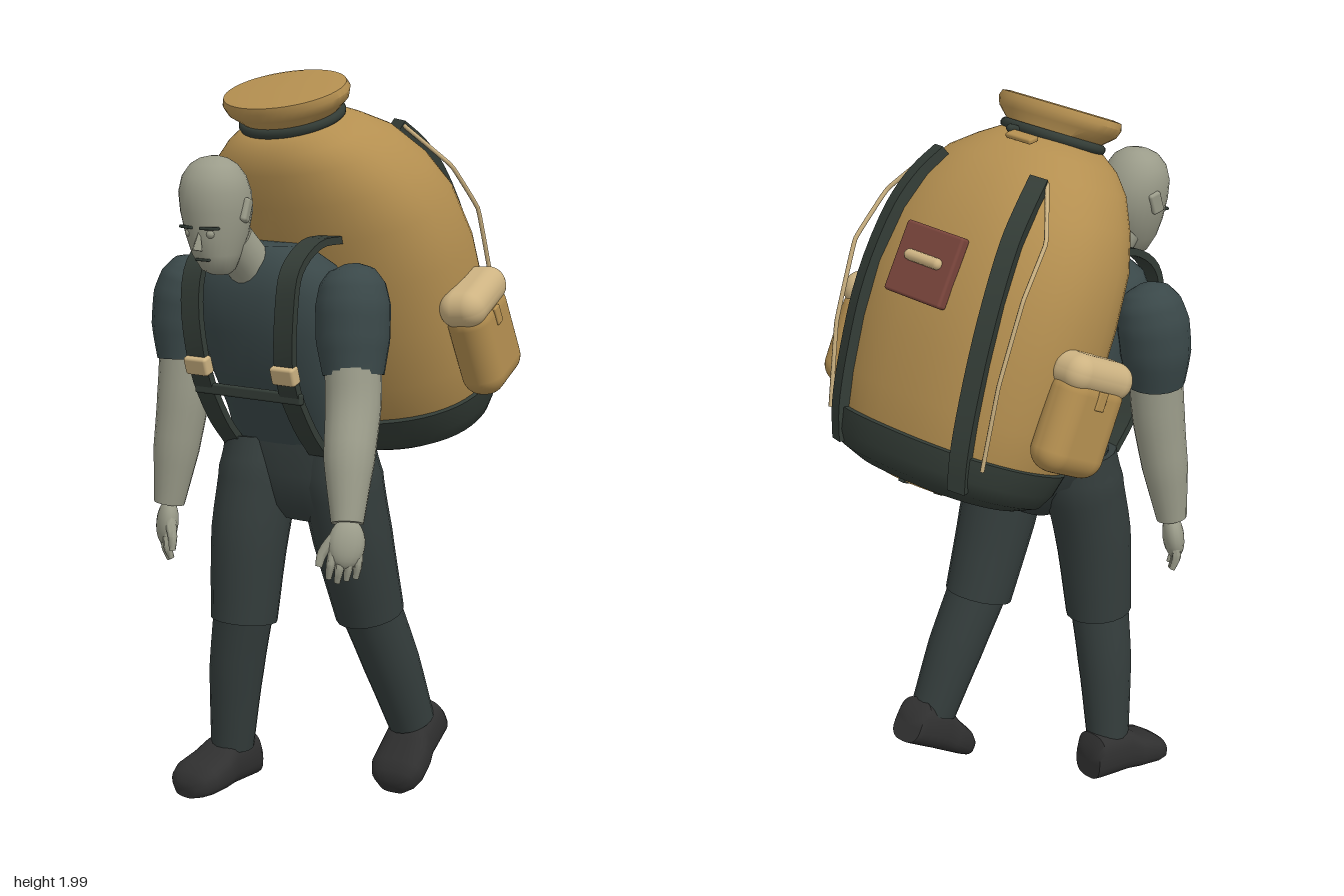
import * as THREE from 'three';
import { toCreasedNormals } from 'three/addons/utils/BufferGeometryUtils.js';
import { RoundedBoxGeometry } from 'three/addons/geometries/RoundedBoxGeometry.js';

const V = (x, y, z) => new THREE.Vector3(x, y, z);
const mat = (color) => new THREE.MeshStandardMaterial({ color });
const tan = mat(0xb48f50), pale = mat(0xcdb382), dark = mat(0x333c36), red = mat(0x7a453c);
const shirt = mat(0x3a4849), trouser = mat(0x343d3c), shoeMat = mat(0x303030), skin = mat(0x9b9c8a);

function add(parent, name, geo, material, x = 0, y = 0, z = 0) {
  const m = new THREE.Mesh(geo, material);
  m.name = name;
  m.position.set(x, y, z);
  parent.add(m);
  return m;
}

// Skin closed rings of points into a capped solid
function loft(rings, crease = 0.8) {
  const n = rings[0].length, pos = [], idx = [];
  const centre = (r) => r.reduce((s, p) => s.add(p), V(0, 0, 0)).divideScalar(n);
  const last = rings.length - 1;
  for (const p of [...rings.flat(), centre(rings[0]), centre(rings[last])]) pos.push(p.x, p.y, p.z);
  const c0 = rings.length * n, c1 = c0 + 1;
  for (let j = 0; j < n; j++) {
    const k = (j + 1) % n;
    for (let i = 0; i < last; i++) {
      const a = i * n + j, b = i * n + k;
      idx.push(a, a + n, b, b, a + n, b + n);
    }
    idx.push(c0, j, k, c1, last * n + k, last * n + j);
  }
  const g = new THREE.BufferGeometry();
  g.setAttribute('position', new THREE.Float32BufferAttribute(pos, 3));
  g.setIndex(idx);
  return toCreasedNormals(g, crease);
}

// Solid from superellipse sections [y, centreX, halfX, zFront, zBack]
const root = (v, n) => Math.sign(v) * Math.abs(v) ** (2 / n);
function stack(sections, n = 2, seg = 32, crease = 0.8) {
  return loft(sections.map(([y, cx, hx, zf, zb]) => Array.from({ length: seg }, (_, j) => {
    const a = j / seg * Math.PI * 2;
    return V(cx + hx * root(Math.cos(a), n), y, (zf + zb) / 2 + (zf - zb) / 2 * root(Math.sin(a), n));
  })), crease);
}

// Round limb through points listed from low to high, [x, y, z, radius]
function limb(pts, seg = 18) {
  const curve = new THREE.CatmullRomCurve3(pts.map((p) => V(p[0], p[1], p[2])));
  const steps = (pts.length - 1) * 4;
  return loft(Array.from({ length: steps + 1 }, (_, i) => {
    const t = i / steps, f = t * (pts.length - 1), k = Math.min(Math.floor(f), pts.length - 2);
    const r = THREE.MathUtils.lerp(pts[k][3], pts[k + 1][3], f - k);
    const q = new THREE.Quaternion().setFromUnitVectors(V(0, 1, 0), curve.getTangent(t));
    return Array.from({ length: seg }, (_, j) => {
      const a = j / seg * Math.PI * 2;
      return V(r * Math.cos(a), 0, r * Math.sin(a)).applyQuaternion(q).add(curve.getPoint(t));
    });
  }));
}

// Flat strap along a path; side is the direction of its width
function ribbon(pts, side, w, t) {
  const curve = new THREE.CatmullRomCurve3(pts), S = side.clone().normalize();
  return loft(Array.from({ length: 25 }, (_, i) => {
    const p = curve.getPoint(i / 24), N = S.clone().cross(curve.getTangent(i / 24)).normalize();
    return [[1, -1], [1, 1], [-1, 1], [-1, -1]].map(([a, b]) =>
      p.clone().addScaledVector(S, a * w / 2).addScaledVector(N, b * t / 2));
  }), 0.5);
}

const PACK = [
  [0.87, 0, 0.31, -0.44, -0.845], [0.95, 0, 0.34, -0.42, -0.87], [1.05, 0, 0.36, -0.405, -0.888],
  [1.2, 0, 0.373, -0.395, -0.905], [1.35, 0, 0.376, -0.395, -0.908], [1.5, 0, 0.36, -0.398, -0.885],
  [1.6, 0, 0.32, -0.405, -0.85], [1.69, 0, 0.26, -0.415, -0.798], [1.74, 0, 0.2, -0.43, -0.745],
  [1.775, 0, 0.145, -0.465, -0.7]];
const POW = 2.3;

// Point on the back of the pack at height y and offset x, lifted outward
function packBack(y, x, lift) {
  const i = Math.max(1, PACK.findIndex((s) => s[0] >= y)), a = PACK[i - 1], b = PACK[i];
  const t = (y - a[0]) / (b[0] - a[0]);
  const [, , hx, zf, zb] = a.map((v, k) => THREE.MathUtils.lerp(v, b[k], t));
  const u = Math.max(0, 1 - Math.abs(x / hx) ** POW) ** (1 / POW);
  return V(x + lift * x / hx, y, (zf + zb) / 2 + (zb - zf) / 2 * u - lift);
}

function makePack() {
  const g = new THREE.Group();
  g.name = 'backpack';
  add(g, 'packBody', stack(PACK, POW, 48), tan);
  add(g, 'packBase', stack([[0.825, 0, 0.25, -0.48, -0.8], [0.85, 0, 0.31, -0.44, -0.85],
    [0.89, 0, 0.335, -0.42, -0.873], [0.95, 0, 0.352, -0.408, -0.885], [0.955, 0, 0.335, -0.42, -0.868]], POW, 48), dark);
  add(g, 'packMouth', stack([[1.76, 0, 0.14, -0.475, -0.695], [1.795, 0, 0.14, -0.475, -0.695],
    [1.825, 0, 0.18, -0.455, -0.712], [1.848, 0, 0.19, -0.45, -0.718], [1.865, 0, 0.183, -0.455, -0.713],
    [1.868, 0, 0.16, -0.47, -0.7]], 2, 40), tan);
  const tie = add(g, 'neckCord', new THREE.TorusGeometry(0.142, 0.014, 10, 40).rotateX(Math.PI / 2), dark, 0, 1.785, -0.585);
  tie.scale.z = 0.8;
  const loop = add(g, 'neckLoop', new RoundedBoxGeometry(0.09, 0.015, 0.035, 2, 0.006), tan, -0.03, 1.762, -0.735);
  loop.rotation.x = -0.5;
  add(g, 'cordToggle', new THREE.CapsuleGeometry(0.012, 0.02, 4, 10).rotateX(Math.PI / 2), dark, 0.02, 1.775, -0.72);

  // Underside: tan disc crossed by dark spokes
  const disc = add(g, 'baseDisc', new THREE.CylinderGeometry(0.18, 0.18, 0.01, 32), tan, 0, 0.822, -0.64);
  disc.scale.z = 0.75;
  for (let i = 0; i < 4; i++) {
    const s = add(g, 'baseSpoke', new THREE.BoxGeometry(0.28, 0.01, 0.022), dark, 0, 0.818, -0.64);
    s.rotation.y = i * Math.PI / 4;
  }

  for (const s of [1, -1]) {
    // Back straps and thin cords stretched beside them
    const line = [[0.86, 0.215], [0.95, 0.22], [1.1, 0.222], [1.3, 0.22], [1.5, 0.205], [1.6, 0.19], [1.67, 0.17]];
    add(g, 'backStrap', ribbon(line.map(([y, x]) => packBack(y, s * x, 0.01)), V(1, 0, 0.38 * s), 0.05, 0.035), dark);
    const cord = [[0.2, 1.67, -0.785], [0.29, 1.53, -0.83], [0.31, 1.38, -0.875], [0.303, 1.156, -0.865], [0.287, 0.93, -0.815]];
    add(g, 'sideCord', new THREE.TubeGeometry(new THREE.CatmullRomCurve3(
      cord.map(([x, y, z]) => V(s * x, y, z)), false, 'catmullrom', 0.1), 48, 0.006, 6), pale);

    // Side pocket with rounded lid
    const p = new THREE.Group();
    p.name = 'sidePocket';
    add(p, 'pocketBag', new RoundedBoxGeometry(0.12, 0.27, 0.21, 6, 0.055), tan, 0, -0.02, 0);
    add(p, 'pocketLid', new RoundedBoxGeometry(0.13, 0.1, 0.225, 6, 0.048), pale, 0, 0.11, 0);
    add(p, 'pocketTab', new RoundedBoxGeometry(0.01, 0.05, 0.03, 2, 0.004), tan, 0.06 * s, 0.055, 0);
    p.position.set(0.396 * s, 1.128, -0.64);
    p.rotation.set(0.04, 0.1 * s, 0);
    g.add(p);
  }

  // Patch with a small roll on it
  const patch = new THREE.Group();
  patch.name = 'backPatch';
  add(patch, 'patchPlate', new RoundedBoxGeometry(0.205, 0.19, 0.03, 2, 0.008), red);
  add(patch, 'patchRoll', new THREE.CapsuleGeometry(0.015, 0.1, 4, 12).rotateZ(Math.PI / 2), pale, 0, 0.01, -0.018);
  patch.position.set(0.008, 1.385, -0.908);
  patch.rotation.x = 0.1;
  g.add(patch);

  // Lean forward and slightly sideways
  g.rotation.set(0.367, 0, 0.045, 'ZYX');
  g.position.x = 0.055;
  return g;
}

function makeHand(x, y, z, s, tilt) {
  const g = new THREE.Group();
  g.name = 'hand';
  add(g, 'palm', new THREE.SphereGeometry(1, 16, 12), skin, 0, -0.045, 0).scale.set(0.03, 0.065, 0.048);
  for (let i = 0; i < 4; i++) {
    const zz = 0.035 - i * 0.023, low = -0.145 + 0.008 * Math.abs(i - 1);
    add(g, 'finger', limb([[-0.016 * s, low, zz, 0.008], [0, low + 0.035, zz, 0.012], [0, -0.065, zz * 0.9, 0.013]], 8), skin);
  }
  add(g, 'thumb', limb([[-0.01 * s, -0.11, 0.064, 0.009], [-0.008 * s, -0.075, 0.058, 0.013], [0, -0.025, 0.025, 0.018]], 8), skin);
  g.position.set(x, y, z);
  g.rotation.set(tilt, -0.85 * s, s * 0.12);
  return g;
}

function makeShoe(x, y, z, pitch, turn) {
  const g = new THREE.Group();
  g.name = 'shoe';
  // Sections run heel to toe; height is measured up from the sole
  const run = [[-0.085, 0.05, 0.1], [-0.07, 0.06, 0.13], [0.03, 0.066, 0.13], [0.07, 0.076, 0.105], [0.13, 0.08, 0.085],
    [0.16, 0.068, 0.068], [0.178, 0.04, 0.045]];
  add(g, 'shoeBody', stack(run.map(([d, w, h]) => [d, 0, w, 0, -h]), 2.8, 28, 0.9).rotateX(Math.PI / 2), shoeMat);
  g.position.set(x, y, z);
  g.rotation.set(pitch, turn, 0);
  return g;
}

function makeHead() {
  const g = new THREE.Group();
  g.name = 'head';
  add(g, 'skull', stack([[1.488, -0.035, 0.025, 0.425, 0.375], [1.5, -0.036, 0.042, 0.45, 0.36], [1.54, -0.042, 0.06, 0.472, 0.335],
    [1.59, -0.047, 0.077, 0.482, 0.31], [1.65, -0.05, 0.09, 0.49, 0.298], [1.7, -0.052, 0.092, 0.492, 0.303],
    [1.74, -0.053, 0.083, 0.48, 0.32], [1.77, -0.054, 0.062, 0.457, 0.342], [1.785, -0.055, 0.038, 0.43, 0.365],
    [1.791, -0.055, 0.01, 0.405, 0.385]], 2.1, 28, 1.2), skin);
  add(g, 'neck', limb([[-0.02, 1.4, 0.23, 0.072], [-0.025, 1.48, 0.27, 0.06], [-0.04, 1.57, 0.35, 0.062]]), skin);
  add(g, 'nose', new THREE.ConeGeometry(0.017, 0.06, 4).rotateX(-0.2), skin, -0.04, 1.585, 0.482);
  add(g, 'mouth', new RoundedBoxGeometry(0.045, 0.007, 0.012, 2, 0.003), dark, -0.04, 1.53, 0.466);
  for (const s of [1, -1]) {
    const brow = add(g, 'brow', new RoundedBoxGeometry(0.052, 0.008, 0.018, 2, 0.003), dark, -0.046 + s * 0.036, 1.613, 0.475);
    brow.rotation.set(0, s * 0.3, 0);
    add(g, 'eye', new THREE.SphereGeometry(0.012, 10, 8), skin, -0.046 + s * 0.034, 1.598, 0.468);
    const ear = add(g, 'ear', new RoundedBoxGeometry(0.018, 0.062, 0.036, 3, 0.008), skin, -0.05 + s * 0.09, 1.655, 0.385);
    ear.rotation.set(-0.35, s * 0.3, 0);
  }
  return g;
}

export function createModel() {
  const model = new THREE.Group();
  model.name = 'hikerWithBackpack';
  model.add(makePack(), makeHead());

  // Torso and pelvis
  add(model, 'torso', stack([[0.99, -0.005, 0.19, 0.19, 0.0], [1.1, -0.005, 0.195, 0.24, 0.0], [1.2, -0.01, 0.205, 0.29, 0.015],
    [1.32, -0.015, 0.225, 0.32, 0.045], [1.43, -0.02, 0.23, 0.335, 0.085], [1.5, -0.02, 0.2, 0.315, 0.115],
    [1.54, -0.02, 0.13, 0.285, 0.145], [1.55, -0.02, 0.09, 0.27, 0.16]], 2.6), shirt);
  add(model, 'pelvis', stack([[0.8, 0.05, 0.09, 0.16, 0.04], [0.84, 0.04, 0.13, 0.19, 0.01], [0.93, 0.01, 0.19, 0.205, -0.01],
    [1.02, 0, 0.205, 0.2, -0.005]], 2.8), trouser);

  // Right leg forward, left leg trailing
  add(model, 'rightThigh', limb([[-0.13, 0.505, 0.185, 0.092], [-0.122, 0.75, 0.165, 0.107], [-0.115, 0.92, 0.13, 0.112], [-0.12, 1.01, 0.12, 0.095]]), trouser);
  add(model, 'rightShin', limb([[-0.185, 0.13, 0.17, 0.06], [-0.16, 0.36, 0.18, 0.076], [-0.133, 0.52, 0.185, 0.082]]), trouser);
  add(model, 'leftThigh', limb([[0.155, 0.525, -0.01, 0.095], [0.143, 0.75, 0.055, 0.109], [0.13, 0.92, 0.09, 0.113], [0.13, 1.01, 0.1, 0.095]]), trouser);
  add(model, 'leftShin', limb([[0.2, 0.19, -0.15, 0.066], [0.18, 0.37, -0.08, 0.079], [0.158, 0.54, -0.008, 0.084]]), trouser);
  model.add(makeShoe(-0.195, 0.025, 0.17, 0.04, -0.1), makeShoe(0.205, 0.095, -0.2, 0.51, 0.05));

  // Arms: rounded sleeve, bare arm and hand
  add(model, 'leftSleeve', limb([[0.288, 1.235, 0.26, 0.08], [0.277, 1.32, 0.247, 0.096], [0.27, 1.41, 0.237, 0.098],
    [0.262, 1.465, 0.228, 0.086], [0.256, 1.5, 0.222, 0.06], [0.253, 1.516, 0.22, 0.02]]), shirt);
  add(model, 'leftArm', limb([[0.365, 0.88, 0.395, 0.042], [0.335, 1.03, 0.345, 0.066], [0.305, 1.16, 0.285, 0.073], [0.288, 1.27, 0.262, 0.074]]), skin);
  add(model, 'rightSleeve', limb([[-0.29, 1.22, 0.225, 0.08], [-0.295, 1.31, 0.217, 0.096], [-0.29, 1.39, 0.21, 0.098],
    [-0.28, 1.445, 0.205, 0.086], [-0.272, 1.48, 0.202, 0.06], [-0.268, 1.496, 0.2, 0.02]]), shirt);
  add(model, 'rightArm', limb([[-0.325, 0.82, 0.265, 0.042], [-0.31, 0.97, 0.25, 0.063], [-0.295, 1.12, 0.235, 0.072], [-0.29, 1.25, 0.225, 0.074]]), skin);
  model.add(makeHand(0.372, 0.875, 0.4, 1, -0.2), makeHand(-0.326, 0.81, 0.265, -1, 0));

  // Shoulder harness with buckles and chest strap
  for (const [x, dx] of [[-0.17, -0.015], [0.14, 0.01]]) {
    const path = [[0, 1.565, 0.14], [0, 1.56, 0.24], [0, 1.5, 0.325], [0, 1.4, 0.35], [-dx, 1.22, 0.335], [-dx, 1.08, 0.26], [-dx, 1, 0.19]];
    add(model, 'shoulderStrap', ribbon(path.map(([o, y, z]) => V(x + o, y, z)), V(1, 0, 0), 0.06, 0.02), dark);
    const buckle = add(model, 'buckle', new RoundedBoxGeometry(0.074, 0.05, 0.035, 2, 0.008), pale, x - dx, 1.23, 0.343);
    buckle.rotation.x = 0.3;
  }
  add(model, 'chestStrap', new RoundedBoxGeometry(0.35, 0.03, 0.02, 2, 0.006), dark, -0.01, 1.165, 0.315);
  return model;
}
